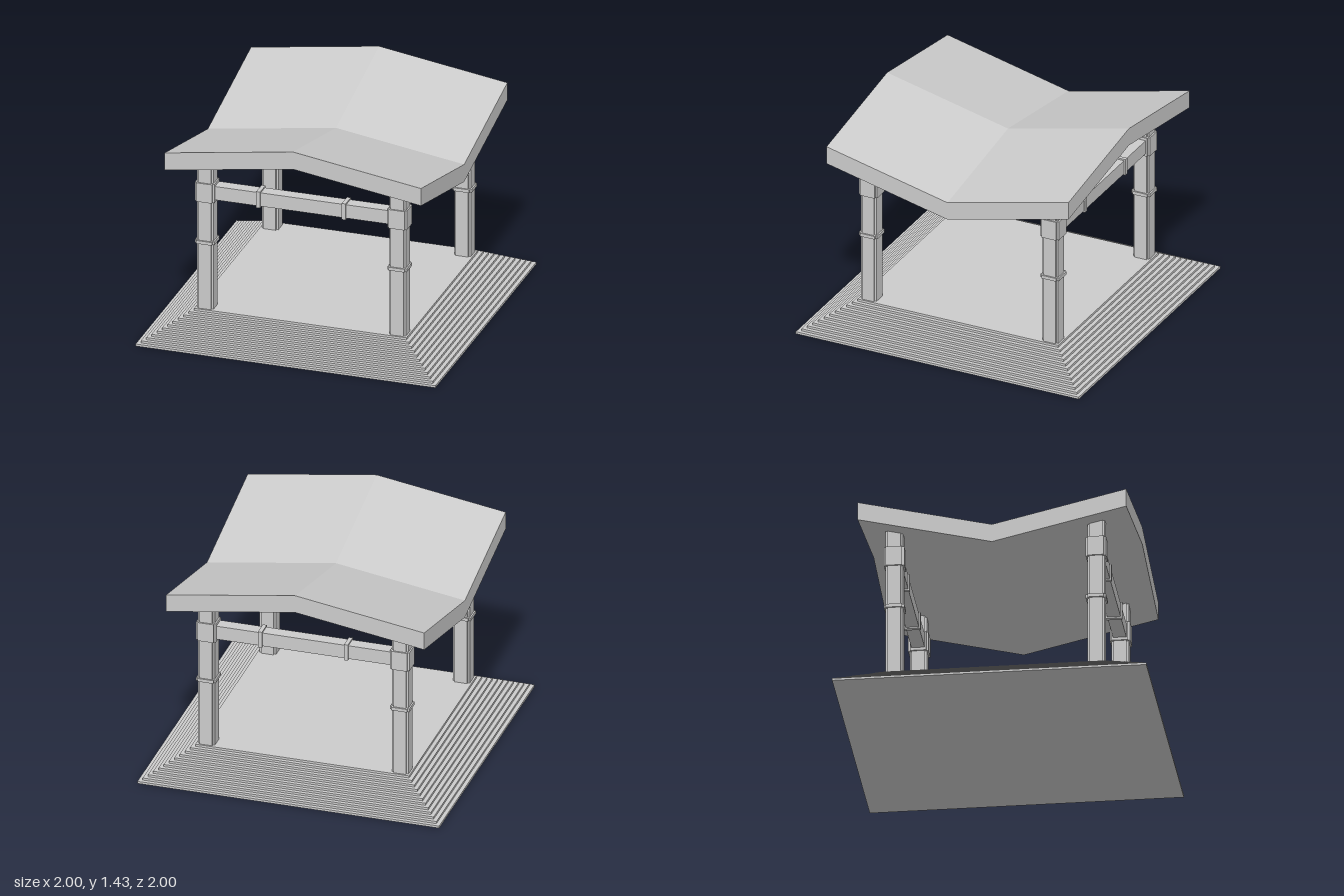
import * as THREE from 'three';

const material = new THREE.MeshStandardMaterial({ color: 0xcccccc, flatShading: true });

function addMesh(parent, name, geometry, x = 0, y = 0, z = 0) {
  const mesh = new THREE.Mesh(geometry, material);
  mesh.name = name;
  mesh.position.set(x, y, z);
  parent.add(mesh);
  return mesh;
}

// Upright square prism with notched corners, from y = 0 to y = height
function notchedPrism(half, notch, height) {
  const a = half, b = half - notch;
  const shape = new THREE.Shape([
    [a, -b], [a, b], [b, b], [b, a], [-b, a], [-b, b],
    [-a, b], [-a, -b], [-b, -b], [-b, -a], [b, -a], [b, -b],
  ].map(([x, y]) => new THREE.Vector2(x, y)));
  return new THREE.ExtrudeGeometry(shape, { depth: height, bevelEnabled: false }).rotateX(-Math.PI / 2);
}

// Slab folded into four planes: ridge along z, valley along x
function foldedRoof(half, thickness) {
  const geometry = new THREE.BoxGeometry(half * 2, thickness, half * 2, 2, 1, 2);
  const p = geometry.attributes.position;
  for (let i = 0; i < p.count; i++) {
    const rise = 0.2 * Math.abs(p.getZ(i)) / half - 0.13 * Math.abs(p.getX(i)) / half;
    p.setY(i, p.getY(i) + rise);
  }
  geometry.computeVertexNormals();
  return geometry;
}

export function createModel() {
  const model = new THREE.Group();
  model.name = 'pavilion';

  // Stepped base
  const base = new THREE.Group();
  base.name = 'steppedBase';
  model.add(base);
  const steps = 12, stepHeight = 0.18 / steps;
  for (let i = 0; i < steps; i++) {
    const width = 2 - i * 0.053;
    addMesh(base, 'step', new THREE.BoxGeometry(width, stepHeight, width), 0, (i + 0.5) * stepHeight, 0);
  }

  // Columns with a thin ring and a tall collar
  const offset = 0.642;
  const shaft = notchedPrism(0.055, 0.013, 1.03);
  const ring = notchedPrism(0.065, 0.013, 0.022);
  const collar = notchedPrism(0.065, 0.013, 0.13);
  for (const x of [-offset, offset]) {
    for (const z of [-offset, offset]) {
      const column = new THREE.Group();
      column.name = 'column';
      column.position.set(x, 0, z);
      model.add(column);
      addMesh(column, 'shaft', shaft, 0, 0.17, 0);
      addMesh(column, 'ring', ring, 0, 0.63, 0);
      addMesh(column, 'collar', collar, 0, 0.922, 0);
    }
  }

  // Cross beams at front and back, each with two bands
  for (const z of [-offset, offset]) {
    const crossBeam = new THREE.Group();
    crossBeam.name = 'crossBeam';
    crossBeam.position.set(0, 0.987, z);
    model.add(crossBeam);
    addMesh(crossBeam, 'beam', new THREE.BoxGeometry(offset * 2 - 0.1, 0.093, 0.085));
    for (const x of [-0.285, 0.285]) {
      addMesh(crossBeam, 'band', new THREE.BoxGeometry(0.026, 0.112, 0.104), x);
    }
  }

  // Roof
  addMesh(model, 'roof', foldedRoof(0.855, 0.12), 0, 1.17, 0);
  return model;
}
